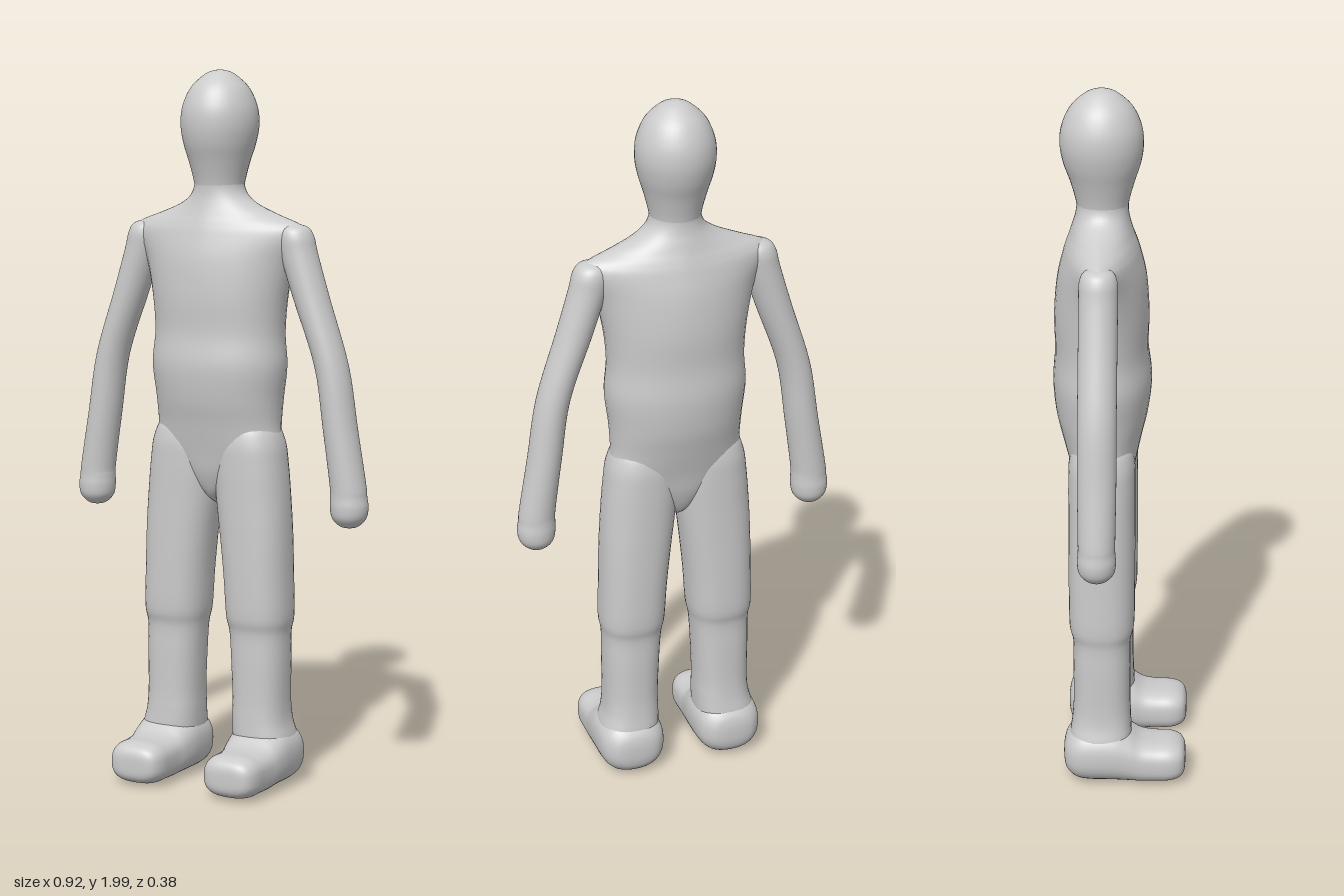
import * as THREE from 'three';

const material = new THREE.MeshStandardMaterial({ color: 0xcccccc, roughness: 0.8 });
const SIDES = 40, STEPS = 5;

// Smooth loft through rounded sections [t, centreU, centreV, radiusU, radiusV, power].
// axis 'y': u = x, v = z, t rising; axis 'z': u = x, v = y, t falling.
function loft(name, sections, axis = 'y', side = 1) {
  const rows = [];
  const last = sections.length - 1;
  const at = (i) => sections[Math.min(Math.max(i, 0), last)];
  for (let i = 0; i < last; i++) {
    const [a, b, c, d] = [at(i - 1), at(i), at(i + 1), at(i + 2)];
    for (let s = 0; s < STEPS; s++) {
      const f = s / STEPS;
      rows.push(b.map((p, k) => {
        const q = c[k], m0 = (q - a[k]) / 2, m1 = (d[k] - p) / 2;
        return p + f * m0 + f * f * (3 * (q - p) - 2 * m0 - m1) + f * f * f * (2 * (p - q) + m0 + m1);
      }));
    }
  }
  rows.push(sections[last]);

  const pos = [], index = [];
  const bend = (v, n) => Math.sign(v) * Math.pow(Math.abs(v), 2 / n);
  rows.forEach(([t, cu, cv, ru, rv, n], r) => {
    for (let j = 0; j < SIDES; j++) {
      const angle = (j / SIDES) * Math.PI * 2;
      const u = side * cu + Math.max(ru, 0) * bend(Math.cos(angle), n);
      const v = cv + Math.max(rv, 0) * bend(Math.sin(angle), n);
      if (axis === 'y') pos.push(u, t, v); else pos.push(u, v, t);
      if (r < rows.length - 1) {
        const p = r * SIDES + j, q = r * SIDES + (j + 1) % SIDES;
        index.push(p, p + SIDES, q, q, p + SIDES, q + SIDES);
      }
    }
  });
  const geometry = new THREE.BufferGeometry();
  geometry.setAttribute('position', new THREE.Float32BufferAttribute(pos, 3));
  geometry.setIndex(index);
  geometry.computeVertexNormals();
  const mesh = new THREE.Mesh(geometry, material);
  mesh.name = name;
  return mesh;
}

// Hips, belly, chest, sloping shoulders and neck
const TORSO = [
  [0.79, 0, -0.05, 0, 0, 2],
  [0.82, 0, -0.05, 0.03, 0.05, 2],
  [0.88, 0, -0.05, 0.12, 0.078, 2],
  [0.95, 0, -0.05, 0.185, 0.093, 2.1],
  [1.03, 0, -0.052, 0.186, 0.112, 2.1],
  [1.10, 0, -0.052, 0.19, 0.128, 2.1],
  [1.19, 0, -0.051, 0.2, 0.136, 2.1],
  [1.28, 0, -0.053, 0.194, 0.128, 2.1],
  [1.38, 0, -0.053, 0.204, 0.13, 2],
  [1.48, 0, -0.052, 0.23, 0.122, 1.8],
  [1.55, 0, -0.052, 0.268, 0.106, 1.6],
  [1.58, 0, -0.052, 0.255, 0.097, 1.5],
  [1.605, 0, -0.052, 0.19, 0.088, 1.55],
  [1.63, 0, -0.052, 0.125, 0.08, 1.75],
  [1.655, 0, -0.051, 0.085, 0.073, 2],
  [1.685, 0, -0.05, 0.07, 0.07, 2],
  [1.72, 0, -0.05, 0.072, 0.073, 2],
];

const HEAD = [
  [1.66, 0, -0.05, 0.066, 0.066, 2],
  [1.70, 0, -0.05, 0.072, 0.073, 2],
  [1.75, 0, -0.05, 0.085, 0.087, 2],
  [1.80, 0, -0.051, 0.1, 0.104, 2],
  [1.85, 0, -0.052, 0.108, 0.112, 2],
  [1.90, 0, -0.052, 0.103, 0.107, 2],
  [1.95, 0, -0.052, 0.081, 0.084, 2],
  [1.985, 0, -0.052, 0.045, 0.047, 2],
  [1.997, 0, -0.052, 0.02, 0.02, 2],
  [2.0, 0, -0.052, 0, 0, 2],
];

// Arm from the rounded hand up to the shoulder
const ARM = [
  [0.757, 0.407, -0.052, 0, 0, 2],
  [0.763, 0.407, -0.052, 0.026, 0.026, 2],
  [0.785, 0.407, -0.052, 0.047, 0.047, 2],
  [0.815, 0.407, -0.052, 0.053, 0.052, 2],
  [0.845, 0.405, -0.052, 0.051, 0.05, 2],
  [0.88, 0.402, -0.052, 0.05, 0.05, 2],
  [1.03, 0.378, -0.052, 0.047, 0.052, 2],
  [1.20, 0.35, -0.052, 0.046, 0.052, 2],
  [1.38, 0.288, -0.052, 0.05, 0.052, 2],
  [1.50, 0.249, -0.052, 0.052, 0.052, 2],
  [1.55, 0.238, -0.052, 0.05, 0.05, 2],
  [1.575, 0.235, -0.052, 0.035, 0.035, 2],
  [1.585, 0.233, -0.052, 0, 0, 2],
];

// Leg from inside the ankle up into the hip
const LEG = [
  [0.06, 0.148, -0.055, 0.075, 0.075, 2.4],
  [0.13, 0.148, -0.054, 0.086, 0.088, 2.5],
  [0.19, 0.14, -0.051, 0.08, 0.084, 2.5],
  [0.25, 0.138, -0.05, 0.078, 0.081, 2.4],
  [0.36, 0.136, -0.05, 0.081, 0.081, 2.4],
  [0.44, 0.133, -0.05, 0.084, 0.081, 2.4],
  [0.49, 0.132, -0.05, 0.092, 0.091, 2.4],
  [0.60, 0.127, -0.05, 0.095, 0.093, 2.4],
  [0.72, 0.119, -0.05, 0.1, 0.093, 2.4],
  [0.82, 0.11, -0.05, 0.104, 0.093, 2.3],
  [0.91, 0.103, -0.05, 0.103, 0.093, 2.3],
  [0.98, 0.1, -0.05, 0.096, 0.09, 2.2],
  [1.03, 0.1, -0.05, 0.07, 0.07, 2],
  [1.06, 0.1, -0.05, 0, 0, 2],
];

// Foot from toe to heel
const FOOT = [
  [0.19, 0.15, 0.068, 0, 0, 2.6],
  [0.188, 0.15, 0.068, 0.045, 0.03, 2.8],
  [0.175, 0.15, 0.069, 0.07, 0.049, 2.8],
  [0.145, 0.15, 0.069, 0.082, 0.059, 2.8],
  [0.10, 0.15, 0.069, 0.084, 0.06, 2.8],
  [0.06, 0.15, 0.072, 0.086, 0.065, 2.7],
  [0.025, 0.149, 0.083, 0.091, 0.077, 2.5],
  [-0.02, 0.148, 0.094, 0.096, 0.088, 2.4],
  [-0.08, 0.148, 0.094, 0.096, 0.088, 2.4],
  [-0.12, 0.148, 0.091, 0.088, 0.079, 2.4],
  [-0.147, 0.148, 0.088, 0.065, 0.056, 2.4],
  [-0.157, 0.148, 0.087, 0.035, 0.03, 2.3],
  [-0.159, 0.148, 0.087, 0, 0, 2.3],
];

export function createModel() {
  const figure = new THREE.Group();
  figure.name = 'figure';
  figure.add(loft('torso', TORSO), loft('head', HEAD));
  for (const [side, label] of [[1, 'left'], [-1, 'right']]) {
    figure.add(
      loft(label + 'Arm', ARM, 'y', side),
      loft(label + 'Leg', LEG, 'y', side),
      loft(label + 'Foot', FOOT, 'z', side),
    );
  }
  return figure;
}
